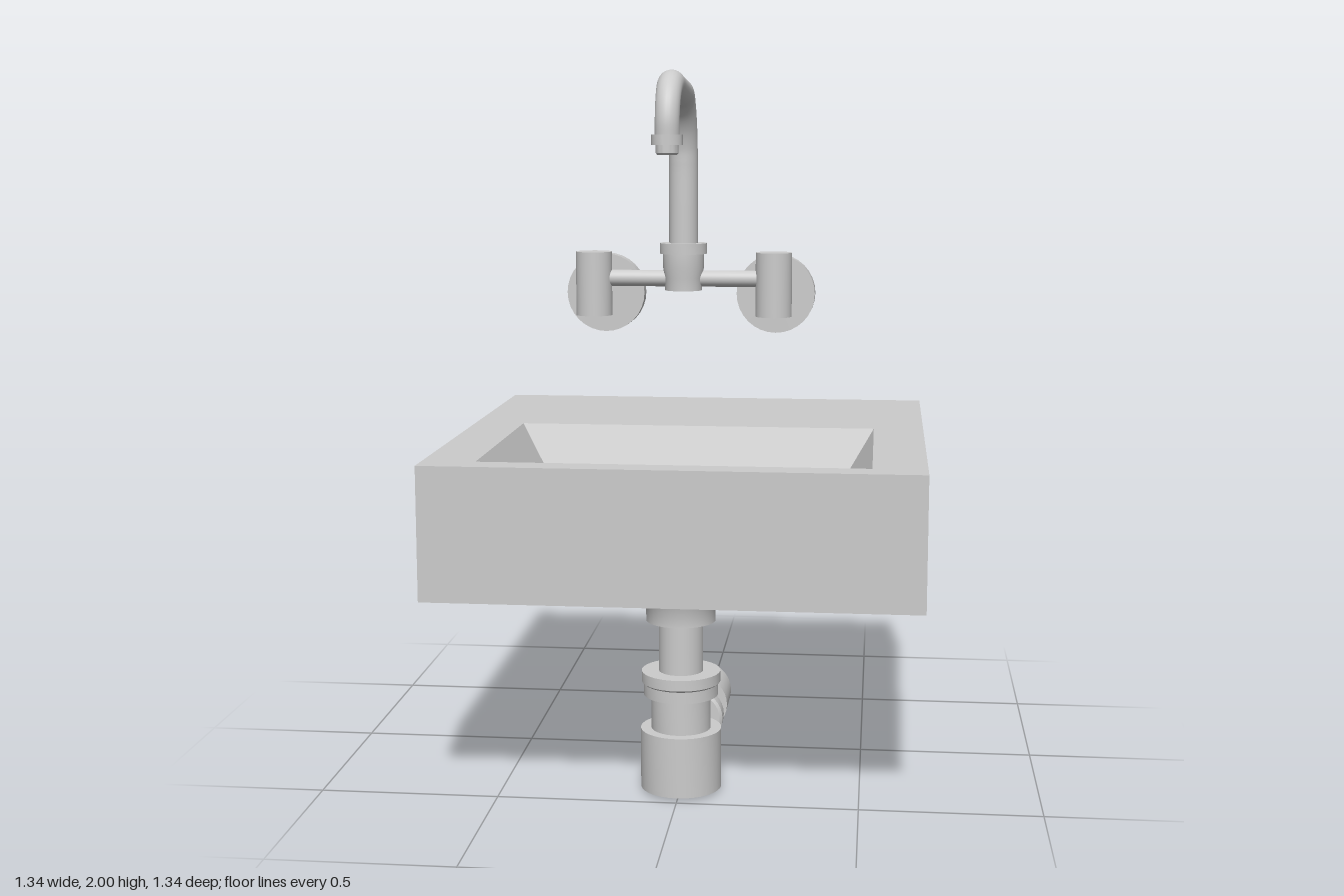
import * as THREE from 'three';
import { toCreasedNormals } from 'three/addons/utils/BufferGeometryUtils.js';

const material = new THREE.MeshStandardMaterial({ color: 0xcccccc });

function add(parent, name, geometry, x = 0, y = 0, z = 0) {
  const mesh = new THREE.Mesh(geometry, material);
  mesh.name = name;
  mesh.position.set(x, y, z);
  parent.add(mesh);
  return mesh;
}

// Turned part from [radius, height] pairs, closed at both ends
function turned(profile) {
  const pts = profile.map(([r, h]) => new THREE.Vector2(r, h));
  pts.unshift(new THREE.Vector2(0, pts[0].y));
  pts.push(new THREE.Vector2(0, pts[pts.length - 1].y));
  return toCreasedNormals(new THREE.LatheGeometry(pts, 32), 0.6);
}

const rod = (r, length) => new THREE.CylinderGeometry(r, r, length, 32);

// Block with a sunken basin, skinned through rectangular rings
function basinGeometry() {
  const rings = [ // x half-width, back z, front z, y
    [0.67, -0.67, 0.67, 0.597],
    [0.67, -0.67, 0.67, 0.965],
    [0.525, -0.07, 0.592, 0.965],
    [0.385, -0.015 + 0.03, 0.505, 0.73],
    [0.03, 0.33, 0.39, 0.68],
  ].map(([w, b, f, y]) => [[w, y, f], [w, y, b], [-w, y, b], [-w, y, f]]);
  const out = [];
  const quad = (a, b, c, d) => out.push(...a, ...b, ...c, ...a, ...c, ...d);
  for (let k = 0; k < rings.length - 1; k++) {
    for (let i = 0; i < 4; i++) {
      const j = (i + 1) % 4;
      quad(rings[k][i], rings[k][j], rings[k + 1][j], rings[k + 1][i]);
    }
  }
  quad(...rings[rings.length - 1]);
  quad(...[...rings[0]].reverse());
  const g = new THREE.BufferGeometry();
  g.setAttribute('position', new THREE.Float32BufferAttribute(out, 3));
  g.computeVertexNormals();
  return g;
}

// Bent spout that narrows slightly towards its outlet
function spoutGeometry() {
  const path = new THREE.CatmullRomCurve3([
    [1.49, 0], [1.62, 0], [1.74, 0], [1.79, 0.003], [1.85, 0.02], [1.9, 0.05], [1.935, 0.09],
    [1.946, 0.17], [1.956, 0.25], [1.962, 0.31], [1.945, 0.357], [1.91, 0.389],
    [1.865, 0.405], [1.81, 0.407],
  ].map(([y, z]) => new THREE.Vector3(0, y, z)));
  const steps = 72, sides = 24;
  const g = new THREE.TubeGeometry(path, steps, 0.042, sides);
  const p = g.attributes.position, v = new THREE.Vector3();
  for (let i = 0; i <= steps; i++) {
    const c = path.getPointAt(i / steps);
    const s = 1 - 0.2 * THREE.MathUtils.smoothstep(i / steps, 0.5, 0.95);
    for (let j = 0; j <= sides; j++) {
      const k = i * (sides + 1) + j;
      v.fromBufferAttribute(p, k).sub(c).multiplyScalar(s).add(c);
      p.setXYZ(k, v.x, v.y, v.z);
    }
  }
  g.computeBoundingSphere();
  return g;
}

export function createModel() {
  const model = new THREE.Group();
  model.name = 'washbasin';
  add(model, 'basin', basinGeometry());

  // Wall-mounted tap
  const tap = new THREE.Group();
  tap.name = 'tap';
  tap.position.set(-0.037, 0, -0.043);
  model.add(tap);
  add(tap, 'tapBody', turned([
    [0.054, 1.373], [0.055, 1.41], [0.06, 1.44], [0.06, 1.48],
    [0.069, 1.48], [0.069, 1.511], [0.042, 1.511],
  ]));
  add(tap, 'spout', spoutGeometry());
  add(tap, 'spoutNozzle', turned([
    [0.027, 1.77], [0.031, 1.775], [0.031, 1.796], [0.043, 1.796], [0.043, 1.824], [0.034, 1.824],
  ]), 0, 0, 0.407);
  add(tap, 'crossbar', rod(0.024, 0.53), 0, 1.407, -0.003).rotation.z = Math.PI / 2;

  // Valves with stems and round wall plates
  for (const side of [-1, 1]) {
    const x = side * 0.265;
    add(tap, 'valve', rod(0.053, 0.187), x, 1.391, 0);
    add(tap, 'stem', rod(0.027, 0.13), x, 1.354, -0.065).rotation.x = Math.PI / 2;
    add(tap, 'wallPlate', rod(0.117, 0.047), side * 0.256 + 0.008, 1.354, -0.141).rotation.x = Math.PI / 2;
  }

  // Bottle trap under the basin
  const trap = new THREE.Group();
  trap.name = 'trap';
  trap.position.z = 0.373;
  model.add(trap);
  add(trap, 'bottle', turned([[0.113, 0.01], [0.113, 0.18], [0.083, 0.18], [0.083, 0.285]]));
  add(trap, 'trapNut', turned([
    [0.104, 0.277], [0.104, 0.31], [0.11, 0.315], [0.11, 0.345], [0.062, 0.345],
  ]));
  add(trap, 'downpipe', rod(0.062, 0.17), 0, 0.42, 0);
  add(trap, 'drainCup', turned([
    [0.097, 0.49], [0.097, 0.54], [0.104, 0.553], [0.104, 0.572], [0.094, 0.599],
  ]));

  // Outlet running back from the bottle
  const outlet = new THREE.Group();
  outlet.name = 'outlet';
  outlet.position.set(0, 0.09, 0);
  outlet.rotation.x = -Math.PI / 2;
  model.add(outlet);
  add(outlet, 'outletNut', turned([
    [0.062, -0.29], [0.066, -0.265], [0.081, -0.232], [0.082, -0.212], [0.073, -0.19], [0.072, -0.152],
  ]));
  add(outlet, 'outletPipe', rod(0.048, 0.2), 0, -0.08, 0);
  add(outlet, 'outletRing', turned([[0.078, -0.024], [0.086, -0.017], [0.086, 0.03], [0.078, 0.037]]));
  add(outlet, 'outletSleeve', rod(0.058, 0.12), 0, 0.08, 0);
  add(outlet, 'outletEnd', rod(0.088, 0.153), 0, 0.197, 0);
  return model;
}
